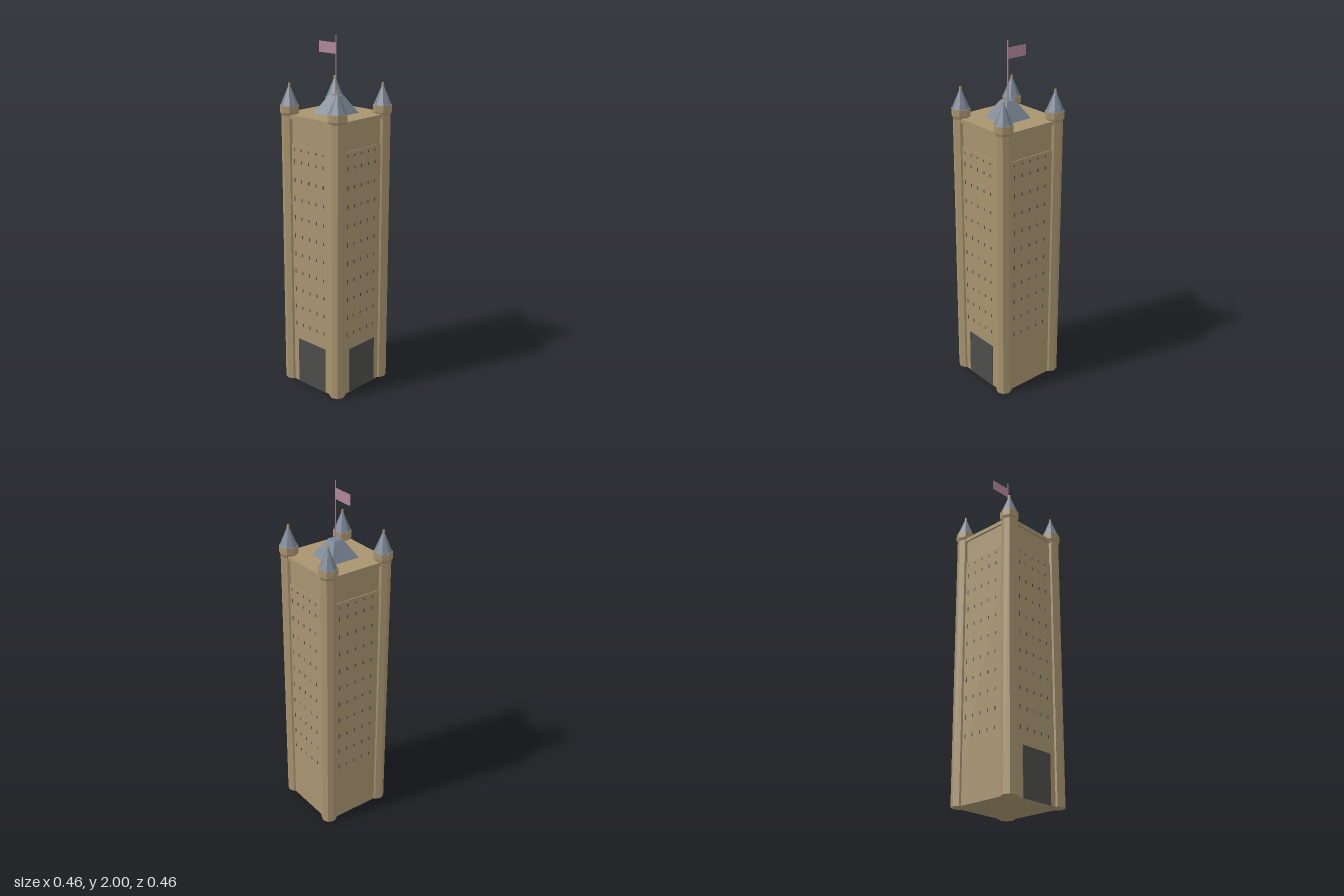
import * as THREE from 'three';

const paint = (name, color) => {
  const m = new THREE.MeshStandardMaterial({ color });
  m.name = name;
  return m;
};

export function createModel() {
  const stone = paint('sandstone', 0xa8946f);
  const slate = paint('slate', 0x7a8594);
  const dark = paint('dark opening', 0x4c4d4a);
  const mauve = paint('mauve flag', 0xb0879a);
  stone.flatShading = slate.flatShading = true;

  const model = new THREE.Group();
  model.name = 'squareTower';

  const add = (parent, name, geometry, material, x, y, z) => {
    const mesh = new THREE.Mesh(geometry, material);
    mesh.name = name;
    mesh.position.set(x, y, z);
    parent.add(mesh);
    return mesh;
  };
  // Box standing on height y0 and reaching y1
  const block = (parent, name, w, d, y0, y1, material, x = 0, z = 0) =>
    add(parent, name, new THREE.BoxGeometry(w, y1 - y0, d), material, x, (y0 + y1) / 2, z);

  // Main body: walls, slightly recessed upper storey, overhanging roof slab
  block(model, 'walls', 0.4, 0.4, 0, 1.42, stone);
  block(model, 'upperStorey', 0.39, 0.39, 1.42, 1.56, stone);
  block(model, 'roofSlab', 0.412, 0.412, 1.56, 1.582, stone);

  // Truncated pyramid roof, square to the walls
  const roof = new THREE.CylinderGeometry(0.027 * Math.SQRT2, 0.088 * Math.SQRT2, 0.1, 4);
  roof.rotateY(Math.PI / 4);
  add(model, 'pyramidRoof', roof, slate, 0, 1.631, 0);

  // Flagpole and flag flying to the back
  add(model, 'flagpole', new THREE.CylinderGeometry(0.003, 0.003, 0.32, 8), mauve, 0, 1.84, 0);
  block(model, 'flag', 0.002, 0.125, 1.9, 1.96, mauve, 0, -0.0625);

  // Octagonal corner turrets: shaft, flared head, spire and finial
  const head = new THREE.LatheGeometry([
    [0.043, 1.57], [0.052, 1.59], [0.052, 1.628], [0.0, 1.628],
  ].map(([r, y]) => new THREE.Vector2(r, y)), 8);
  const shaft = new THREE.CylinderGeometry(0.045, 0.045, 1.59, 8);
  const spire = new THREE.CylinderGeometry(0.007, 0.049, 0.1, 8);
  const finial = new THREE.CylinderGeometry(0.006, 0.008, 0.024, 8);
  for (const sx of [-1, 1]) {
    for (const sz of [-1, 1]) {
      const turret = new THREE.Group();
      turret.name = 'cornerTurret';
      turret.position.set(sx * 0.178, 0, sz * 0.178);
      add(turret, 'turretShaft', shaft, stone, 0, 0.795, 0);
      add(turret, 'turretHead', head, stone, 0, 0, 0);
      add(turret, 'turretSpire', spire, slate, 0, 1.678, 0);
      add(turret, 'turretFinial', finial, stone, 0, 1.735, 0);
      model.add(turret);
    }
  }

  // Window slits, repeated on all four sides; doors on the front and right sides
  const columns = [-0.122, -0.069, -0.014, 0.041, 0.095];
  for (let side = 0; side < 4; side++) {
    const face = new THREE.Group();
    face.name = 'wallFace';
    face.rotation.y = side * Math.PI / 2;
    for (let row = 0; row < 11; row++) {
      const y = row < 10 ? 0.365 + row * 0.107 : 1.395;
      columns.forEach((x, i) => {
        const h = row === 10 ? 0.012 : i === 0 ? 0.026 : 0.018;
        block(face, 'windowSlit', 0.007, 0.002, y - h / 2, y + h / 2, dark, x, 0.2);
      });
    }
    if (side === 0 || side === 3) {
      block(face, 'door', 0.21, 0.006, 0, 0.272, dark, 0, 0.2);
    }
    model.add(face);
  }

  return model;
}
